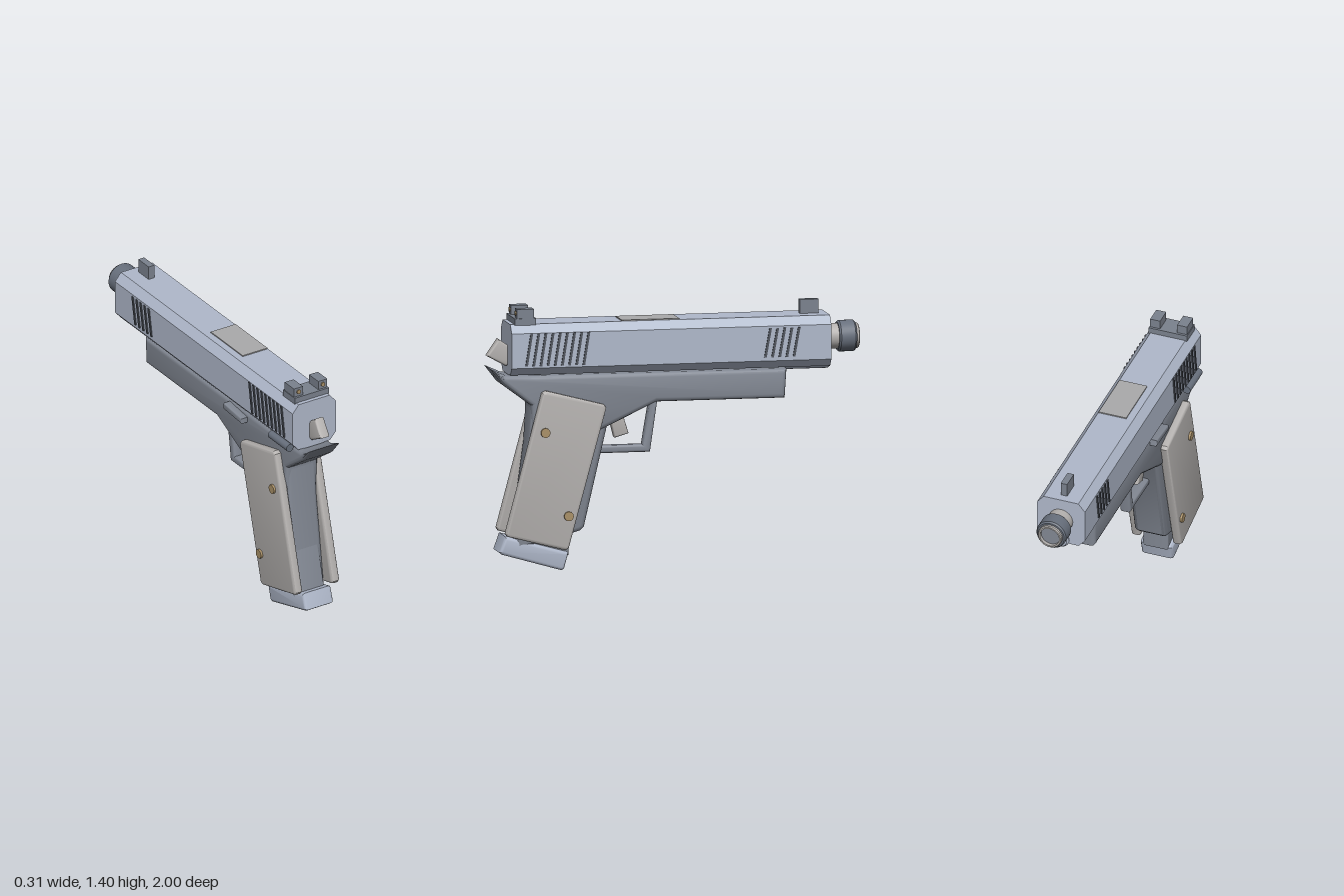
import * as THREE from 'three';
import { toCreasedNormals } from 'three/addons/utils/BufferGeometryUtils.js';

const mat = (name, color) => Object.assign(new THREE.MeshStandardMaterial({ color }), { name });

export function createModel() {
  const steel = mat('slide steel', 0xb0b9cb);
  const gunmetal = mat('frame gunmetal', 0x828893);
  const sightGrey = mat('sight grey', 0x7b828e);
  const capGrey = mat('muzzle cap grey', 0x68707d);
  const pale = mat('pale grip grey', 0xb4b1af);
  const portGrey = mat('port grey', 0xaaaaab);
  const brass = mat('brass', 0xaa9168);
  const dark = mat('groove dark', 0x50555e);

  const model = new THREE.Group();
  const add = (name, geometry, material, x = 0, y = 0, z = 0, parent = model) => {
    const mesh = new THREE.Mesh(geometry, material);
    mesh.name = name;
    mesh.position.set(x, y, z);
    parent.add(mesh);
    return mesh;
  };

  const outline = (points) => new THREE.Shape(points.map(([a, b]) => new THREE.Vector2(a, b)));

  // Side outline of [z, y] points, given a width across x and rounded edges
  const slab = (points, width, bevel) => {
    const g = new THREE.ExtrudeGeometry(outline(points), {
      depth: width - 2 * bevel, bevelEnabled: bevel > 0, bevelSize: bevel,
      bevelThickness: bevel, bevelOffset: -bevel, bevelSegments: 3,
    });
    g.translate(0, 0, -(width / 2 - bevel));
    g.rotateY(-Math.PI / 2);
    return toCreasedNormals(g, 0.6);
  };

  // Turned part pointing forward, from [radius, distance] points
  const turned = (points) => {
    const g = new THREE.LatheGeometry(points.map(([r, d]) => new THREE.Vector2(r, d)), 32);
    g.rotateX(-Math.PI / 2);
    return toCreasedNormals(g, 0.6);
  };

  const box = (w, h, d) => new THREE.BoxGeometry(w, h, d);

  // Slide with chamfered corners
  const slideShape = outline([
    [-0.1, 1.05], [0.1, 1.05], [0.135, 1.09], [0.135, 1.275],
    [0.098, 1.32], [-0.098, 1.32], [-0.135, 1.275], [-0.135, 1.09],
  ]);
  add('slide', new THREE.ExtrudeGeometry(slideShape, { depth: 1.72, bevelEnabled: false }), steel, 0, 0, -0.83);
  add('ejectionPort', box(0.155, 0.008, 0.31), portGrey, 0.018, 1.322, 0.135);

  // Slanted grip grooves on both sides of the slide
  const groove = (h) => slab([[-0.001, 0], [0.012, 0], [-0.016, h], [-0.029, h]], 0.009, 0);
  const grooves = [
    { name: 'rearGroove', count: 9, z: 0.805, y: 1.1, h: 0.175, step: 0.0385 },
    { name: 'frontGroove', count: 5, z: -0.48, y: 1.11, h: 0.155, step: 0.0385 },
  ];
  for (const set of grooves) {
    const g = groove(set.h);
    for (let i = 0; i < set.count; i++) {
      for (const side of [-1, 1]) add(set.name, g, dark, side * 0.1365, set.y, set.z - i * set.step);
    }
  }

  // Barrel, bore and threaded cap
  add('barrel', turned([
    [0.067, 0.8], [0.067, 0.995], [0.062, 1], [0.054, 1], [0.054, 0.975],
  ]), pale, 0, 1.193, 0);
  add('bore', turned([[0.056, 0.97], [0.054, 0.98], [0, 0.98]]), gunmetal, 0, 1.193, 0);
  add('muzzleCap', turned([
    [0.066, 0.888], [0.076, 0.888], [0.083, 0.897], [0.083, 0.973], [0.076, 0.982], [0.066, 0.982],
  ]), capGrey, 0, 1.193, 0);
  add('recoilRod', turned([
    [0, 0.5], [0.047, 0.5], [0.047, 0.835], [0.038, 0.847], [0, 0.847],
  ]), steel, 0, 1.072, 0);

  // Sights
  add('rearSightBase', box(0.215, 0.036, 0.115), sightGrey, 0, 1.333, 0.81);
  for (const side of [-1, 1]) {
    add('rearSightPost', box(0.056, 0.05, 0.09), sightGrey, side * 0.076, 1.375, 0.81);
    const dot = new THREE.CylinderGeometry(0.012, 0.012, 0.008, 20);
    dot.rotateX(Math.PI / 2);
    add('sightDot', dot, brass, side * 0.076, 1.376, 0.857);
  }
  add('frontSight', box(0.036, 0.08, 0.1), sightGrey, 0, 1.355, -0.735);

  // Hammer
  add('hammer', slab([
    [0.86, 1.1], [0.9, 1.09], [1.0, 1.145], [0.938, 1.235], [0.895, 1.205], [0.86, 1.18],
  ], 0.058, 0.012), pale);

  // Frame: dust cover with rear tang, then the handle
  add('frame', slab([
    [0.995, 1.085], [0.91, 1.047], [0.75, 1.043], [-0.6, 1.04], [-0.59, 0.885],
    [0.1, 0.885], [0.4, 0.745], [0.77, 0.745], [0.775, 0.885], [0.93, 1.0],
  ], 0.204, 0.024), gunmetal);
  add('handle', slab([
    [0.77, 0.95], [0.785, 0.68], [0.86, 0.12], [0.57, 0.192], [0.51, 0.21], [0.488, 0.23],
    [0.36, 0.78], [0.3, 0.85], [0.3, 0.95],
  ], 0.182, 0.024), gunmetal);
  add('tangFiller', box(0.12, 0.03, 0.2), gunmetal, 0, 1.045, 0.79);

  // Magazine and its base pad
  add('magazine', slab([
    [0.815, 0.43], [0.885, 0.16], [0.57, 0.08], [0.56, 0.43],
  ], 0.142, 0.01), gunmetal);
  add('magazineBase', slab([
    [0.915, 0.192], [0.945, 0.105], [0.93, 0.094], [0.61, 0.002], [0.596, 0.01], [0.573, 0.092], [0.58, 0.1],
  ], 0.18, 0.018), steel);

  // Trigger and guard
  add('triggerGuard', slab([
    [0.155, 0.9], [0.08, 0.9], [0.122, 0.61], [0.43, 0.61], [0.43, 0.65], [0.163, 0.65], [0.128, 0.86],
  ], 0.06, 0.012), gunmetal);
  add('trigger', slab([
    [0.35, 0.84], [0.28, 0.85], [0.237, 0.712], [0.312, 0.69],
  ], 0.06, 0.01), pale);

  // Grip panels with screws on both sides
  const panel = slab([
    [0.724, 0.955], [0.703, 0.965], [0.392, 0.884], [0.38, 0.866],
    [0.582, 0.125], [0.602, 0.116], [0.913, 0.197], [0.922, 0.212],
  ], 0.05, 0.014);
  const screw = new THREE.CylinderGeometry(0.025, 0.025, 0.03, 24);
  screw.rotateZ(Math.PI / 2);
  for (const side of [-1, 1]) {
    add('gripPanel', panel, pale, side * 0.116, 0, 0);
    for (const [z, y] of [[0.71, 0.745], [0.585, 0.298]]) add('gripScrew', screw, brass, side * 0.138, y, z);
  }

  // Right-hand-side controls: slide stop and safety lever
  add('slideStop', slab([
    [0.4, 0.99], [0.4, 1.02], [0.225, 1.035], [0.22, 1.0],
  ], 0.045, 0.006), gunmetal, -0.117, 0, 0);
  const lever = new THREE.CylinderGeometry(0.022, 0.022, 0.18, 20);
  lever.rotateX(Math.PI / 2);
  add('safetyLever', lever, capGrey, -0.133, 1.057, 0.77);

  return model;
}
